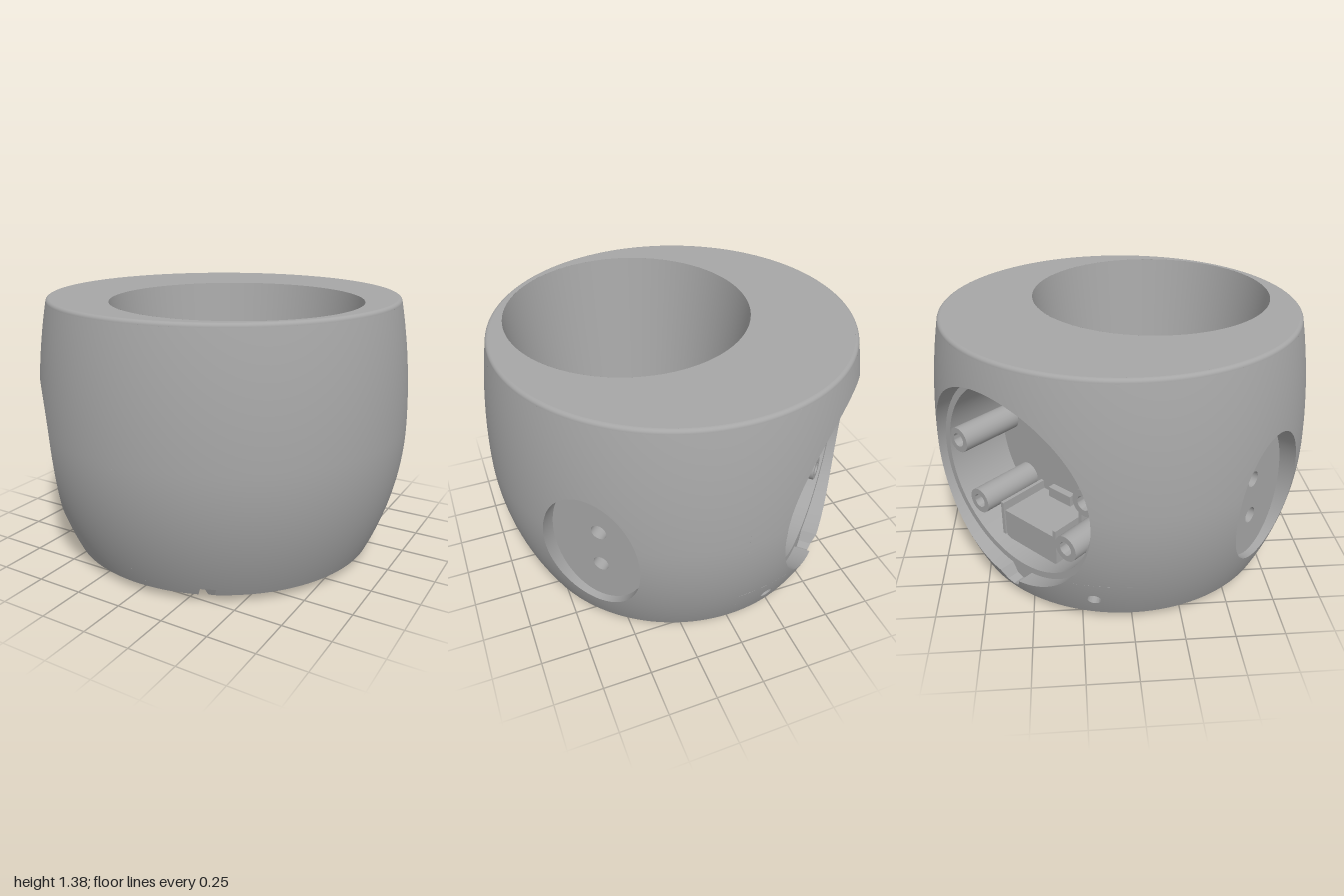
import * as THREE from 'three';
import { toCreasedNormals } from 'three/addons/utils/BufferGeometryUtils.js';

const { PI, sin, cos, sqrt, asin, atan2, hypot } = Math;
const Q = PI / 4, Y0 = 0.045, Y1 = 1.365, TOP = 1.385;
const V = (x, y, z) => new THREE.Vector3(x, y, z);

// Body radius at height y: chamfer, then a barrel curve
function radius(y) {
  if (y < Y0) return 0.76 + (0.08 * y) / Y0;
  return y < 0.72 ? 1 - 0.16 * ((0.72 - y) / 0.675) ** 2 : 1 - 0.065 * ((y - 0.72) / 0.65) ** 2;
}
const onBody = (a, y, inset = 0) => V((radius(y) - inset) * sin(a), y, (radius(y) - inset) * cos(a));
function bodyNormal(p) {
  const y = THREE.MathUtils.clamp(p.y, Y0 + 0.002, Y1), a = atan2(p.x, p.z);
  const slope = (radius(y + 0.001) - radius(y - 0.001)) / 0.002;
  return V(sin(a), -slope, cos(a)).normalize();
}

// Surface through rows of points, with given or creased normals
function grid(rows, normalAt) {
  const n = rows[0].length, pts = rows.flat(), index = [];
  for (let j = 0; j < rows.length - 1; j++)
    for (let i = 0; i < n - 1; i++) {
      const a = j * n + i, b = a + 1, c = b + n, d = a + n;
      index.push(a, b, d, b, c, d);
    }
  const g = new THREE.BufferGeometry().setFromPoints(pts);
  if (normalAt) {
    const face = pts[1].clone().sub(pts[0]).cross(pts[n].clone().sub(pts[0]));
    if (face.dot(normalAt(pts[0])) < 0) index.reverse();
    g.setAttribute('normal', new THREE.Float32BufferAttribute(pts.flatMap(p => normalAt(p).toArray()), 3));
    g.setIndex(index);
    return g;
  }
  g.setIndex(index);
  return toCreasedNormals(g, 0.6);
}
const range = (n, f) => Array.from({ length: n + 1 }, (_, i) => f(i / n));
const lerp = THREE.MathUtils.lerp;

// Distance from centre c to a polygon border along angle f
function reach(poly, c, f) {
  let best = Infinity;
  const dx = cos(f), dy = sin(f);
  poly.forEach((p, i) => {
    const q = poly[(i + 1) % poly.length];
    const ex = q[0] - p[0], ey = q[1] - p[1], px = p[0] - c[0], py = p[1] - c[1];
    const det = ex * dy - ey * dx;
    if (Math.abs(det) < 1e-9) return;
    const d = (ex * py - ey * px) / det, u = (dx * py - dy * px) / det;
    if (d > 0 && u > -1e-6 && u < 1 + 1e-6) best = Math.min(best, d);
  });
  return best;
}

// Body skin between a polygon and a hole, both in (angle, height)
function skinWithHole(poly, c, hole) {
  const angles = [...range(96, t => -PI + 2 * PI * t), ...poly.map(p => atan2(p[1] - c[1], p[0] - c[0]))].sort((a, b) => a - b);
  const inner = angles.map(hole);
  const rows = range(12, k => angles.map((f, i) => {
    const d = reach(poly, c, f);
    return onBody(lerp(inner[i][0], c[0] + d * cos(f), k), lerp(inner[i][1], c[1] + d * sin(f), k));
  }));
  return { geometry: grid(rows, bodyNormal), rim: rows[0] };
}

export function createModel() {
  const model = new THREE.Group();
  const grey = new THREE.MeshStandardMaterial({ color: 0xa6a6a6, side: THREE.DoubleSide });
  grey.name = 'grey';
  const add = (parent, name, geometry, x = 0, y = 0, z = 0) => {
    const m = new THREE.Mesh(geometry, grey);
    m.name = name;
    m.position.set(x, y, z);
    parent.add(m);
    return m;
  };
  const side = (name, angle) => {
    const g = new THREE.Group();
    g.name = name;
    g.rotation.y = angle;
    model.add(g);
    return g;
  };
  const flat = (pts, holes = []) => {
    const s = new THREE.Shape(pts);
    s.holes = holes;
    return new THREE.ShapeGeometry(s, 48);
  };
  const circle = (x, y, r) => new THREE.Path().absarc(x, y, r, 0, 2 * PI);
  const tube = (r0, r1, h) => new THREE.CylinderGeometry(r0, r1, h, 72, 1, true);

  // Rounded top edge and top face
  add(model, 'topEdge', new THREE.LatheGeometry(range(6, t => new THREE.Vector2(
    0.916 + 0.02 * cos(t * PI / 2), Y1 + 0.02 * sin(t * PI / 2))), 128));
  const topShape = new THREE.Shape().absarc(0, 0, 0.916, 0, 2 * PI);
  topShape.holes.push(circle(0.18, -0.18, 0.64));
  add(model, 'topFace', new THREE.ShapeGeometry(topShape, 96).rotateX(-PI / 2), 0, TOP);

  // Tapered pocket with three shallow holes in its floor
  const floorY = 0.3;
  add(model, 'pocketWall', tube(0.64, 0.49, TOP - floorY), 0.18, (TOP + floorY) / 2, 0.18);
  const dots = [[0.26, -0.1], [-0.1, 0.26], [0.39, 0.39]];
  const floorShape = new THREE.Shape().absarc(0.18, -0.18, 0.49, 0, 2 * PI);
  floorShape.holes = dots.map(([x, z]) => circle(x, -z, 0.053));
  add(model, 'pocketFloor', new THREE.ShapeGeometry(floorShape, 48).rotateX(-PI / 2), 0, floorY);
  for (const [x, z] of dots) {
    add(model, 'floorHoleWall', tube(0.053, 0.053, 0.05), x, floorY - 0.025, z);
    add(model, 'floorHoleEnd', new THREE.CircleGeometry(0.053, 32).rotateX(-PI / 2), x, floorY - 0.05, z);
  }

  // Cable groove under the base, ending in a square pocket
  const H = 0.085, mid = 0.382, half = 0.035;
  const at = (u, c) => [0.787 * u - 0.617 * c, 0.617 * u + 0.787 * c];
  const rimAt = (c, y) => at(sqrt(radius(y) ** 2 - c * c), c);
  const rimAngle = (c, y) => atan2(...rimAt(c, y));
  const outline = y => [rimAt(mid + half, y), at(-0.374, mid + half), at(-0.374, mid + 0.075), at(-0.5, mid + 0.075),
    at(-0.5, mid - 0.075), at(-0.374, mid - 0.075), at(-0.374, mid - half), rimAt(mid - half, y)];
  const v2 = ([x, z]) => new THREE.Vector2(x, z);
  add(model, 'grooveWalls', grid([0, Y0, H].map(y => outline(y).map(([x, z]) => V(x, y, z)))));
  add(model, 'grooveCeiling', flat(outline(H).map(v2)).rotateX(PI / 2), 0, H);
  const early = y => rimAngle(mid + half, y), late = y => rimAngle(mid - half, y);
  const arc = range(128, t => {
    const a = lerp(late(0), early(0) + 2 * PI, t);
    return new THREE.Vector2(0.76 * sin(a), 0.76 * cos(a));
  });
  add(model, 'baseFace', flat([...outline(0).map(v2), ...arc.slice(1, -1)]).rotateX(PI / 2));

  // Base chamfer and the plain quarter of the body, both broken by the groove
  const strip = (a0, a1, y0, y1, n, m, normalAt) =>
    grid(range(m, v => range(n, u => {
      const y = lerp(y0, y1, v);
      return onBody(lerp(a0(y), a1(y), u), y);
    })), normalAt);
  const coneNormal = p => V(p.x, -0.08 / Y0 * hypot(p.x, p.z), p.z).normalize();
  add(model, 'baseChamfer', strip(late, y => early(y) + 2 * PI, 0, Y0 - 1e-6, 128, 1, coneNormal));
  add(model, 'plainSideLowA', strip(() => 0, early, Y0, H, 12, 2, bodyNormal));
  add(model, 'plainSideLowB', strip(late, () => PI / 2, Y0, H, 24, 2, bodyNormal));
  add(model, 'plainSide', strip(() => 0, () => PI / 2, H, Y1, 40, 32, bodyNormal));

  // Two oval side recesses, each with two screw holes
  const recessFloor = 0.875;
  for (const angle of [-Q, 3 * Q]) {
    const g = side('recessSide', angle);
    const skin = skinWithHole([[-Q, Y0], [Q, Y0], [Q, Y1], [-Q, Y1]], [0, 0.6], f => {
      const y = 0.6 + 0.37 * sin(f);
      return [asin(0.26 * cos(f) / radius(y)), y];
    });
    add(g, 'recessSkin', skin.geometry);
    add(g, 'recessWall', grid([skin.rim, skin.rim.map(p => V(p.x, p.y, recessFloor))]));
    const s = new THREE.Shape().absellipse(0, 0.6, 0.26, 0.37, 0, 2 * PI);
    s.holes = [0.67, 0.455].map(y => circle(0, y, 0.042));
    add(g, 'recessFloor', new THREE.ShapeGeometry(s, 48), 0, 0, recessFloor);
    for (const y of [0.67, 0.455]) {
      add(g, 'screwHoleWall', tube(0.042, 0.042, 0.12).rotateX(PI / 2), 0, y, recessFloor - 0.06);
      add(g, 'screwHoleEnd', new THREE.CircleGeometry(0.042, 32), 0, y, recessFloor - 0.12);
    }
  }

  // Side with the large round opening, with a thumb notch at its foot
  const g = side('openingSide', 5 * Q);
  const yc = 0.68, R = 0.545, ledge = 0.79, back = 0.42, r = 0.51;
  const nookA = 0.45, nookY = 0.29;
  const opening = skinWithHole([[-nookA, Y0], [nookA, Y0], [nookA, nookY], [Q, nookY], [Q, Y1], [-Q, Y1], [-Q, nookY], [-nookA, nookY]],
    [0, yc], f => {
      const along = -R * sin(f), off = R * cos(f);
      const d = along > 0 && Math.abs(off) < 0.062 ? Math.max(R, along + sqrt(0.062 ** 2 - off * off)) : R;
      const y = yc + d * sin(f);
      return [asin(d * cos(f) / radius(y)), y];
    });
  const rim = opening.rim;
  const ring = (d, z) => rim.map(p => {
    const k = d / hypot(p.x, p.y - yc);
    return V(p.x * k, yc + (p.y - yc) * k, z);
  });
  add(g, 'openingSkin', opening.geometry);
  add(g, 'openingWall', grid([rim, rim.map(p => V(p.x, p.y, ledge))]));
  add(g, 'openingLedge', grid([rim.map(p => V(p.x, p.y, ledge)), ring(r, ledge)]));
  add(g, 'cavityWall', grid([ring(r, ledge), ring(r, back)]));
  add(g, 'cavityBack', new THREE.CircleGeometry(r, 72), 0, yc, back);

  // Small holes low on either side of the opening
  for (const s of [-1, 1]) {
    const c = [s * 0.567, 0.17];
    const skin = skinWithHole([[s * nookA, Y0], [s * Q, Y0], [s * Q, nookY], [s * nookA, nookY]], c,
      f => [c[0] + 0.039 * cos(f), c[1] + 0.035 * sin(f)]);
    add(g, 'ventSkin', skin.geometry);
    const inner = skin.rim.map(p => onBody(atan2(p.x, p.z), p.y, 0.14));
    add(g, 'ventWall', grid([skin.rim, inner]));
    add(g, 'ventEnd', grid([inner, inner.map(() => onBody(c[0], c[1], 0.14))]));
  }

  // Screw bosses
  const h = 0.36;
  const bossProfile = [[0.07, 0], [0.07, h], [0.038, h], [0.038, h - 0.1], [0, h - 0.1]].map(p => new THREE.Vector2(...p));
  const boss = toCreasedNormals(new THREE.LatheGeometry(bossProfile, 32).rotateX(PI / 2), 0.6);
  for (const [x, y] of [[0.45, 0.74], [0.32, 0.415]])
    for (const s of [-1, 1]) add(g, 'screwBoss', boss, s * x, y, back);

  // Fittings inside the cavity
  const box = (name, x0, x1, y0, y1, z0, z1) =>
    add(g, name, new THREE.BoxGeometry(x1 - x0, y1 - y0, z1 - z0), (x0 + x1) / 2, (y0 + y1) / 2, (z0 + z1) / 2);
  box('holderBlock', -0.2, 0.17, 0.2, 0.37, back, 0.71);
  for (const x of [-0.22, 0.17]) box('holderSide', x, x + 0.02, 0.22, 0.42, back, 0.72);
  box('holderTab', -0.12, 0.04, 0.37, 0.43, back, 0.46);
  for (const x of [0.17, 0.42]) box('frameUpright', x, x + 0.03, 0.38, 0.8, back, 0.5);
  box('frameTop', 0.17, 0.45, 0.77, 0.8, back, 0.5);
  box('framePanel', 0.21, 0.39, 0.35, 0.63, back, 0.49);
  for (const x of [0.19, 0.39]) box('frameClip', x, x + 0.02, 0.36, 0.48, back, 0.55);

  return model;
}
